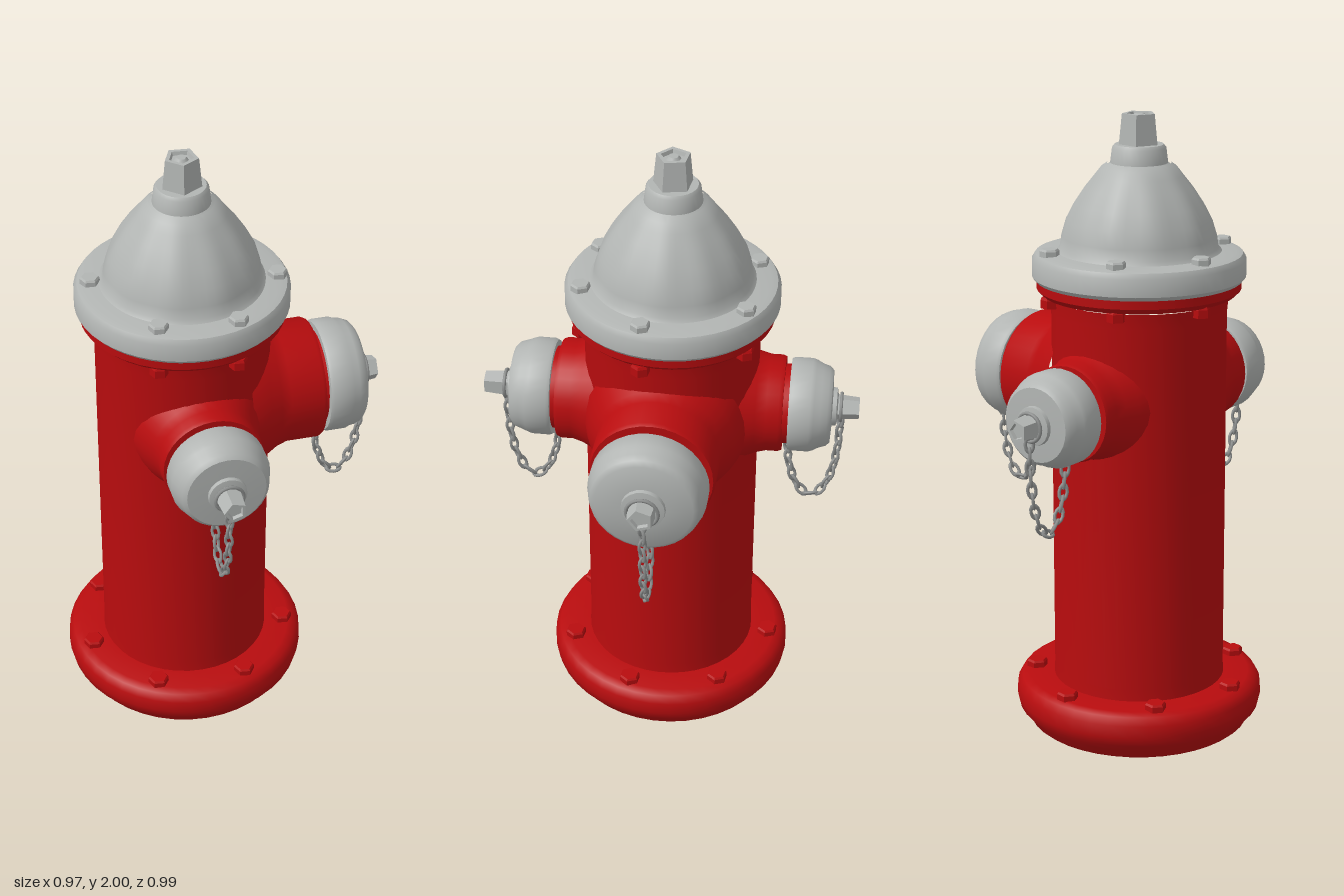
import * as THREE from 'three';
import { mergeGeometries, toCreasedNormals } from 'three/addons/utils/BufferGeometryUtils.js';

const mat = (name, color) => Object.assign(new THREE.MeshStandardMaterial({ color }), { name });

export function createModel() {
  const red = mat('hydrant red', 0xb80c0e);
  const silver = mat('silver paint', 0xb2b5b3);
  const steel = mat('chain steel', 0x8f9190);

  const model = new THREE.Group();
  model.name = 'hydrant';
  const body = new THREE.Group();
  body.name = 'hydrantBody';
  body.position.set(-0.08, 0, -0.01);
  model.add(body);

  const add = (parent, name, geo, material) => {
    const m = new THREE.Mesh(geo, material);
    m.name = name;
    parent.add(m);
    return m;
  };
  // Turned part from [radius, height] pairs, bottom to top
  const turned = (pts, segs = 40, crease = 0.6) => toCreasedNormals(
    new THREE.LatheGeometry(pts.map(([r, y]) => new THREE.Vector2(r, y)), segs), crease);
  // Bolt head with a small bevel
  const bolt = (r, h) => turned([[0, 0], [r, 0], [r, h * 0.75], [r * 0.85, h], [0, h]], 6, 0.2);

  // Base flange and barrel
  add(body, 'baseFlange', turned([[0, 0], [0.345, 0], [0.36, 0.012], [0.37, 0.035], [0.395, 0.06],
    [0.402, 0.09], [0.4, 0.13], [0.385, 0.155], [0.36, 0.163], [0.27, 0.163]], 40, 0.8), red);
  add(body, 'barrel', turned([[0.28, 0.15], [0.277, 0.2], [0.277, 1.38], [0.282, 1.43]], 40), red);
  add(body, 'upperFlange', turned([[0.27, 1.435], [0.305, 1.438], [0.322, 1.455], [0.322, 1.49], [0.27, 1.49]], 40), red);

  // Bonnet flange and gently fluted dome
  add(body, 'bonnetFlange', turned([[0.27, 1.482], [0.325, 1.482], [0.336, 1.495], [0.336, 1.55],
    [0.325, 1.567], [0.305, 1.572], [0.23, 1.575]], 48), silver);
  const dome = new THREE.LatheGeometry([[0.262, 1.57], [0.248, 1.585], [0.242, 1.62], [0.226, 1.67],
    [0.2, 1.72], [0.168, 1.77], [0.137, 1.81], [0.118, 1.835], [0.1, 1.848]]
    .map(([r, y]) => new THREE.Vector2(r, y)), 60);
  const p = dome.attributes.position;
  for (let i = 0; i < p.count; i++) {
    const x = p.getX(i), z = p.getZ(i);
    const k = 1 + 0.016 * Math.cos(10 * Math.atan2(z, x)) * Math.sin((p.getY(i) - 1.57) / 0.28 * Math.PI);
    p.setX(i, x * k);
    p.setZ(i, z * k);
  }
  add(body, 'bonnetDome', toCreasedNormals(dome, 0.7), silver);
  add(body, 'bonnetCollar', turned([[0.115, 1.83], [0.09, 1.848], [0.084, 1.895], [0.076, 1.905], [0, 1.905]], 32), silver);

  // Five-sided operating nut with recessed top
  const nut = (r, y0, y1) => turned([[r, y0], [r * 0.84, y1], [r * 0.62, y1], [r * 0.56, y1 - 0.012],
    [0, y1 - 0.012]], 5, 0.2);
  const topNut = add(body, 'operatingNut', nut(0.064, 1.9, 2), silver);
  topNut.rotation.y = 0.55;
  add(body, 'operatingNutCentre', new THREE.CylinderGeometry(0.016, 0.024, 0.012, 6).translate(0, 1.993, 0),
    silver);

  // Bonnet bolts above and their nuts below the flange
  const bonnetBolts = [[-0.025, -0.29], [0.265, -0.13], [0.25, 0.15], [0.045, 0.28], [-0.25, 0.135], [-0.25, -0.13]];
  for (const [x, z] of bonnetBolts) {
    add(body, 'bonnetBolt', bolt(0.031, 0.024), silver).position.set(x, 1.57, z);
    add(body, 'bonnetBoltNut', bolt(0.03, 0.035), red).position.set(x, 1.408, z);
  }
  // Base bolts
  for (let i = 0; i < 7; i++) {
    const a = (30 + i * 360 / 7) * Math.PI / 180;
    add(body, 'baseBolt', bolt(0.034, 0.025), red).position.set(0.338 * Math.cos(a), 0.161, 0.338 * Math.sin(a));
  }

  // Chain of interlocking links along a hanging curve in the xy plane
  const chain = (pts) => {
    const curve = new THREE.CatmullRomCurve3(pts.map(([x, y]) => new THREE.Vector3(x, y, 0)));
    const n = Math.round(curve.getLength() / 0.038);
    const links = [];
    for (let i = 0; i <= n; i++) {
      const q = curve.getPointAt(i / n), t = curve.getTangentAt(i / n);
      links.push(new THREE.TorusGeometry(0.0125, 0.0052, 6, 12).scale(1.75, 1, 1)
        .rotateX(Math.PI / 4 + (i % 2) * Math.PI / 2)
        .rotateZ(Math.atan2(t.y, t.x)).translate(q.x, q.y, 0));
    }
    return mergeGeometries(links);
  };

  // Outlet: s = nozzle start of cap, e = cap face, tip = nut end, all along the axis
  const outlet = (name, angle, { r, cap, s, e, tip, nutR, drop, face }) => {
    const g = new THREE.Group();
    g.name = name;
    g.position.y = 1.12;
    g.rotation.y = -angle * Math.PI / 180;
    body.add(g);
    const along = (part, geo, m) => {
      const mesh = add(g, part, geo, m);
      mesh.rotation.z = -Math.PI / 2;
      return mesh;
    };
    along('nozzle', turned([[r * 1.3, 0.17], [r * 1.18, 0.235], [r * 1.06, 0.275], [r, 0.31],
      [r, s - 0.03], [r * 0.97, s - 0.018], [cap * 0.85, s - 0.018], [cap * 0.85, s + 0.01]], 32, 0.8), red);
    const d = e - s;
    along('cap', turned([[cap * 0.8, s], [cap * 0.97, s], [cap, s + 0.01], [cap, s + d * 0.5],
      [cap * 0.97, s + d * 0.6], [face * 1.02, s + d * 0.75], [face * 0.97, e - 0.012],
      [face * 0.88, e], [nutR, e + 0.004], [0, e + 0.004]], 32, 0.7), silver);
    along('capHub', turned([[nutR * 1.45, e - 0.005], [nutR * 1.4, e + 0.016], [nutR * 0.9, e + 0.02], [0, e + 0.02]], 20), silver);
    along('capNut', nut(nutR, e + 0.01, tip), silver);
    along('chainRing', new THREE.TorusGeometry(nutR * 1.02, 0.006, 6, 24).rotateX(Math.PI / 2)
      .translate(0, e + 0.03, 0), steel);
    const x0 = e + 0.03, x1 = s - 0.008, w = x0 - x1;
    add(g, 'chain', chain([[x0, -nutR - 0.01], [x0 - 0.005, -0.17], [x0 - w * 0.13, drop * 0.76],
      [x0 - w * 0.32, drop * 0.95], [x0 - w * 0.5, drop], [x0 - w * 0.68, drop * 0.95],
      [x0 - w * 0.87, drop * 0.76], [x1, -cap * 0.9]]), steel);
  };

  const small = { r: 0.163, cap: 0.157, s: 0.378, e: 0.512, tip: 0.61, nutR: 0.043, drop: -0.36, face: 0.142 };
  outlet('largeOutlet', -37,
    { r: 0.197, cap: 0.184, s: 0.445, e: 0.576, tip: 0.645, nutR: 0.048, drop: -0.4, face: 0.172 });
  outlet('leftHoseOutlet', 51.5, small);
  outlet('rightHoseOutlet', 230.5, { ...small, r: 0.155, cap: 0.15, face: 0.132, tip: 0.6 });

  return model;
}
